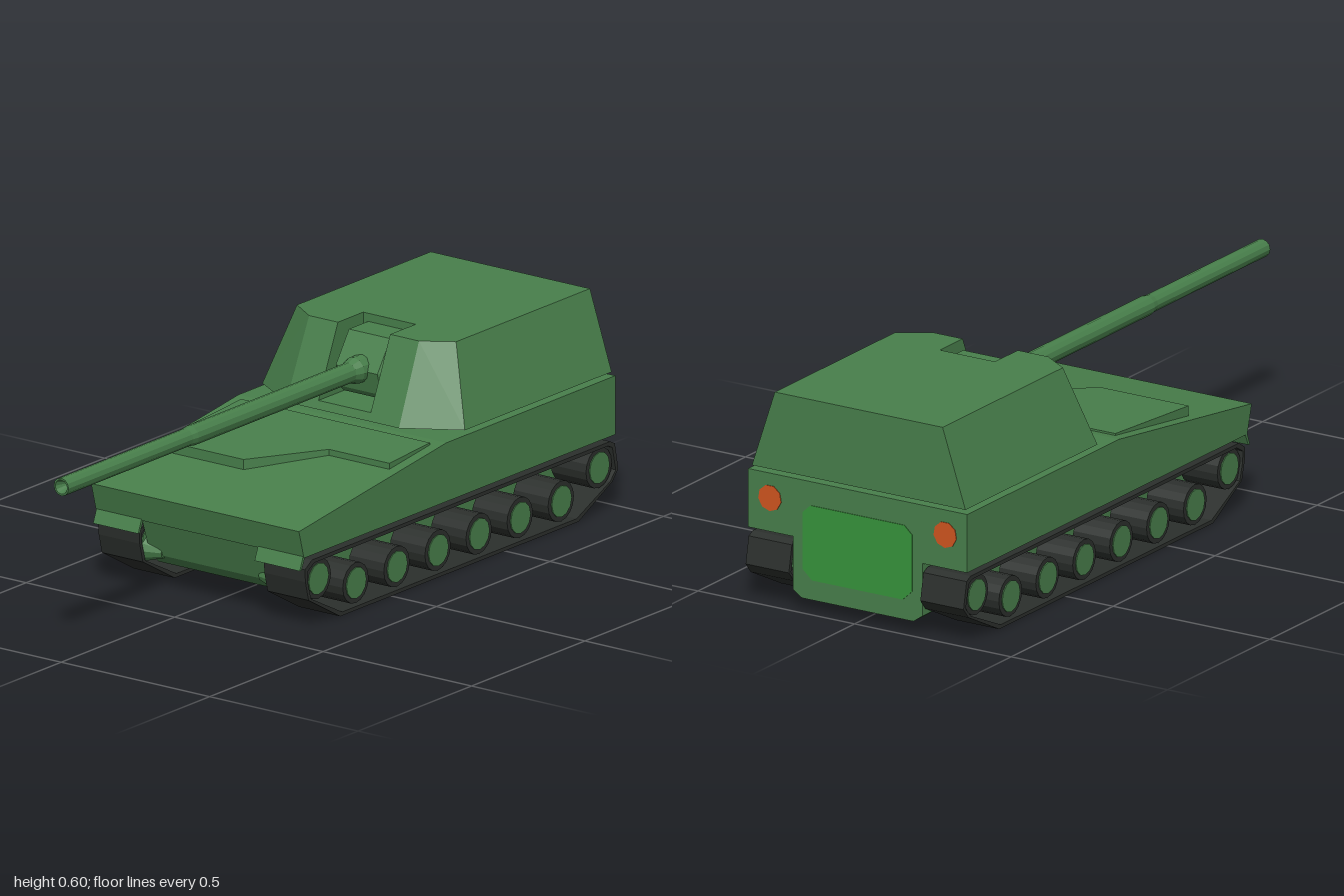
import * as THREE from 'three';
import { ConvexGeometry } from 'three/addons/geometries/ConvexGeometry.js';

const mat = (name, color) => {
  const m = new THREE.MeshStandardMaterial({ color });
  m.name = name;
  return m;
};

export function createModel() {
  const armour = mat('armour green', 0x487f4b);
  const black = mat('track black', 0x2b2f2c);
  const doorGreen = mat('door green', 0x37943b);
  const orange = mat('lamp orange', 0xd0551f);
  const model = new THREE.Group();
  model.name = 'selfPropelledGun';

  // Faceted mesh with one normal per face
  const add = (name, geometry, material, parent = model) => {
    const g = geometry.index ? geometry.toNonIndexed() : geometry;
    g.computeVertexNormals();
    const mesh = new THREE.Mesh(g, material);
    mesh.name = name;
    parent.add(mesh);
  };
  const hull = (points) => new ConvexGeometry(points.map((p) => new THREE.Vector3(...p)));
  // Mirrors each point across x = 0
  const both = (points) => points.flatMap(([x, y, z]) => [[x, y, z], [-x, y, z]]);
  const shapeOf = (points) => new THREE.Shape(points.map((p) => new THREE.Vector2(...p)));
  const extrude = (shape, depth) => new THREE.ExtrudeGeometry(shape, { depth, bevelEnabled: false });

  // Upper and lower hull
  const rear = -0.985;
  add('upperHull', hull(both([
    [0.35, 0.285, 0.41], [0.35, 0.37, -0.24], [0.35, 0.37, rear],
    [0.35, 0.205, rear], [0.35, 0.205, 0.388],
  ])), armour);
  add('lowerHull', hull(both([
    [0.207, 0.21, 0.376], [0.207, 0.1, 0.338], [0.207, 0.066, 0.3],
    [0.207, 0.21, rear], [0.207, 0.056, rear], [0.178, 0.036, rear],
  ])), armour);

  // Raised engine plate, its top tilted to follow the deck
  const plate = extrude(shapeOf([
    [-0.318, 0.21], [-0.318, -0.15], [-0.035, -0.15], [0.115, 0.03], [0.318, 0.03], [0.318, 0.21],
  ]), 0.04);
  plate.rotateX(-Math.PI / 2);
  const pos = plate.attributes.position;
  for (let i = 0; i < pos.count; i++) {
    pos.setY(i, pos.getY(i) + 0.3175 - 0.067 * pos.getZ(i));
  }
  add('enginePlate', plate, armour);

  // Turret: two cheeks, a rear block and a sill around the gun slot
  const turret = new THREE.Group();
  turret.name = 'turret';
  model.add(turret);
  const slot = 0.088, slotBack = -0.447;
  const cheek = [
    [slot, 0.38, -0.24], [0.19, 0.38, -0.24], [0.341, 0.38, -0.333], [0.341, 0.38, -0.98],
    [slot, 0.38, -0.98], [slot, 0.6, -0.335], [0.185, 0.6, -0.335], [0.268, 0.6, -0.39],
    [0.268, 0.6, -0.98], [slot, 0.6, -0.98],
  ];
  for (const s of [1, -1]) {
    add(s > 0 ? 'leftCheek' : 'rightCheek', hull(cheek.map(([x, y, z]) => [s * x, y, z])), armour, turret);
  }
  add('turretRear', hull(both([
    [slot, 0.38, slotBack], [slot, 0.6, slotBack], [slot, 0.6, -0.98], [slot, 0.38, -0.98],
  ])), armour, turret);
  add('slotSill', hull(both([
    [slot, 0.38, -0.24], [slot, 0.402, -0.249], [slot, 0.402, slotBack], [slot, 0.38, slotBack],
  ])), armour, turret);

  // Gun mantlet and barrel with a hollow muzzle
  add('mantlet', hull(both([
    [0.07, 0.578, -0.36], [0.07, 0.492, -0.302], [0.07, 0.43, -0.318], [0.07, 0.412, -0.338],
    [0.085, 0.56, -0.38], [0.085, 0.492, -0.33], [0.085, 0.43, -0.345],
    [0.07, 0.578, -0.445], [0.085, 0.56, -0.445], [0.085, 0.43, -0.445], [0.07, 0.412, -0.445],
  ])), armour, turret);
  const profile = [
    [0.037, -0.34], [0.037, -0.29], [0.028, -0.265], [0.028, 0.43],
    [0.025, 0.45], [0.025, 1], [0.02, 1], [0.001, 0.94],
  ];
  const barrel = new THREE.LatheGeometry(profile.map((p) => new THREE.Vector2(...p)), 12);
  barrel.rotateX(Math.PI / 2).translate(0, 0.492, 0);
  add('gunBarrel', barrel, armour, turret);

  // Running gear
  const loop = [
    [0.35, 0.19], [0.381, 0.17], [0.379, 0.135], [0.365, 0.08], [0.225, 0], [-0.825, 0],
    [-0.975, 0.075], [-1, 0.105], [-0.985, 0.18], [-0.965, 0.19],
  ];
  // Inner edge of the band, wound the opposite way so that its faces look inwards
  const inner = loop.map(([z, y]) => new THREE.Vector2(
    -0.31 + (z + 0.31) * 0.984, 0.095 + (y - 0.095) * 0.89)).reverse();
  const wheels = [
    [0.313, 0.127], [-0.925, 0.125],
    ...Array.from({ length: 6 }, (_, i) => [0.147 - 0.181 * i, 0.073]),
  ];
  for (const s of [1, -1]) {
    const side = new THREE.Group();
    side.name = s > 0 ? 'leftRunningGear' : 'rightRunningGear';
    model.add(side);

    const band = shapeOf(loop);
    band.holes.push(new THREE.Path(inner));
    const track = extrude(band, 0.138);
    track.rotateY(-Math.PI / 2).translate(s * 0.279 + 0.069, 0, 0);
    add('track', track, black, side);

    for (const [z, y] of wheels) {
      const tyre = new THREE.CylinderGeometry(0.057, 0.057, 0.118, 16);
      add('wheel', tyre.rotateZ(Math.PI / 2).translate(s * 0.281, y, z), black, side);
      const hub = new THREE.CylinderGeometry(0.044, 0.044, 0.124, 12);
      add('wheelHub', hub.rotateZ(Math.PI / 2).translate(s * 0.281, y, z), armour, side);
    }

    // Tapered drive housing beside the front wheel
    const drive = new THREE.CylinderGeometry(0.036, 0.017, 0.06, 10);
    add('driveHousing', drive.rotateZ(-s * Math.PI / 2).translate(s * 0.194, 0.108, 0.328), armour, side);

    // Sloping front mudflap
    add('mudflap', hull([0.196, 0.348].flatMap((x) => [
      [s * x, 0.212, 0.388], [s * x, 0.212, 0.378], [s * x, 0.172, 0.404], [s * x, 0.172, 0.396],
    ])), armour, side);

    // Rear lamp
    const lamp = new THREE.CylinderGeometry(0.037, 0.037, 0.003, 9);
    add('rearLamp', lamp.rotateX(Math.PI / 2).translate(s * 0.28, 0.3, rear - 0.0005), orange);
  }

  // Rear door panel with cut corners
  const door = extrude(shapeOf([
    [-0.175, 0.12], [-0.145, 0.092], [0.145, 0.092], [0.175, 0.12],
    [0.175, 0.28], [0.15, 0.303], [-0.15, 0.303], [-0.175, 0.28],
  ]), 0.003);
  add('rearDoor', door.translate(0, 0, rear - 0.002), doorGreen);

  return model;
}
